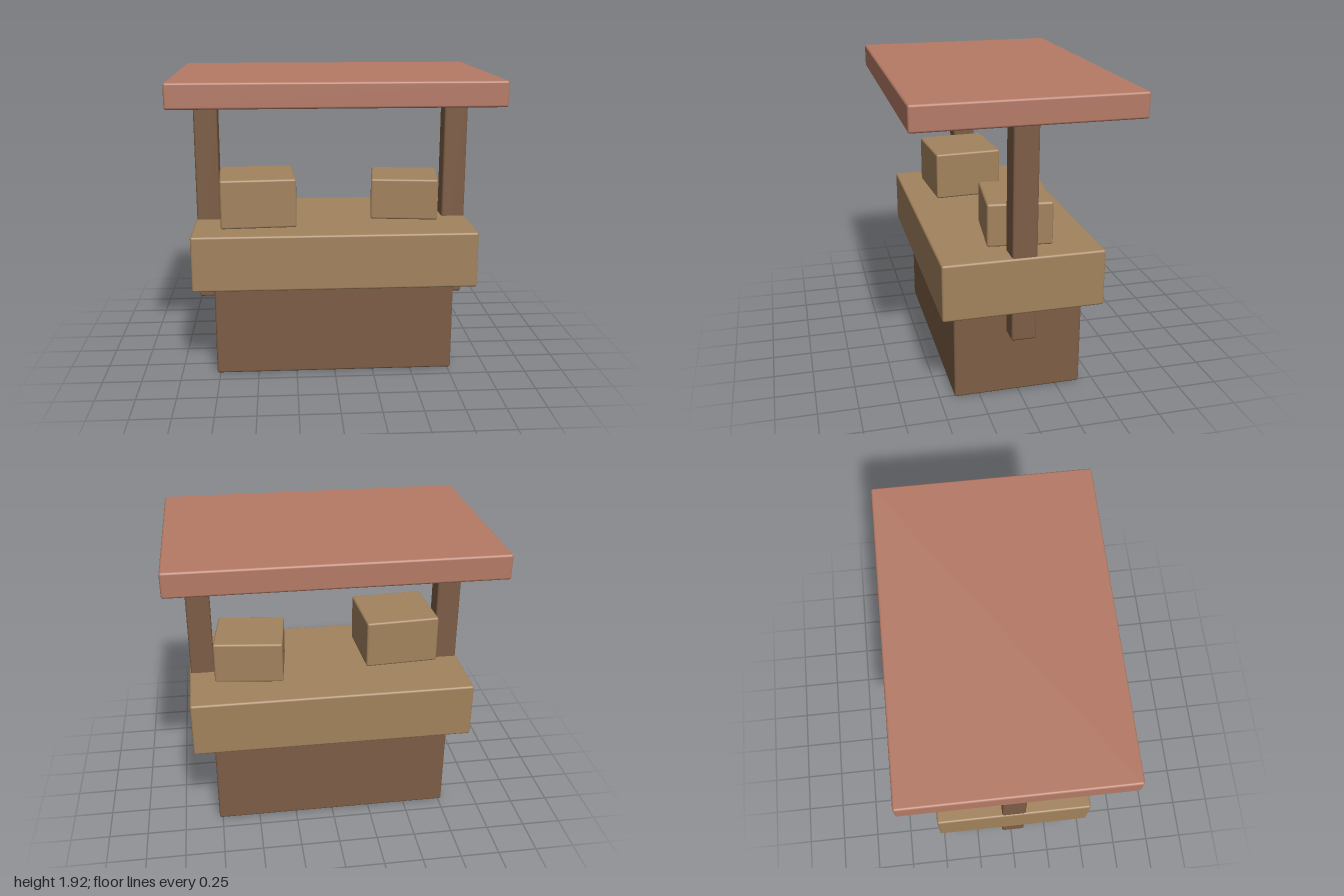
import * as THREE from 'three';
import { RoundedBoxGeometry } from 'three/addons/geometries/RoundedBoxGeometry.js';

function material(name, color) {
  const m = new THREE.MeshStandardMaterial({ color });
  m.name = name;
  return m;
}

export function createModel() {
  const darkWood = material('dark wood', 0x7d5e46);
  const lightWood = material('light wood', 0xa3835d);
  const clayRed = material('clay red', 0xb57a66);

  const stall = new THREE.Group();
  stall.name = 'marketStall';

  // Softly bevelled block, placed by the height of its underside
  function block(name, mat, [w, h, d], [x, bottom, z], turn = 0) {
    const mesh = new THREE.Mesh(new RoundedBoxGeometry(w, h, d, 2, 0.014), mat);
    mesh.name = name;
    mesh.position.set(x, bottom + h / 2, z);
    mesh.rotation.y = turn;
    stall.add(mesh);
  }

  // Base and counter
  block('base', darkWood, [1.544, 0.61, 0.814], [0, 0, 0]);
  block('counter', lightWood, [1.81, 0.36, 1.0], [0, 0.597, 0]);

  // Posts run through the counter ends up to the roof
  for (const side of [-1, 1]) {
    block(side > 0 ? 'leftPost' : 'rightPost', darkWood,
      [0.154, 1.37, 0.154], [side * 0.819, 0.415, 0]);
  }

  // Flat roof
  block('roof', clayRed, [2.0, 0.155, 1.36], [0, 1.77, 0]);

  // Crates, each turned slightly on the counter
  block('largeCrate', lightWood, [0.486, 0.318, 0.456], [-0.495, 0.957, 0.092], 0.06);
  block('smallCrate', lightWood, [0.443, 0.273, 0.404], [0.499, 0.957, -0.045], -0.12);

  return stall;
}
